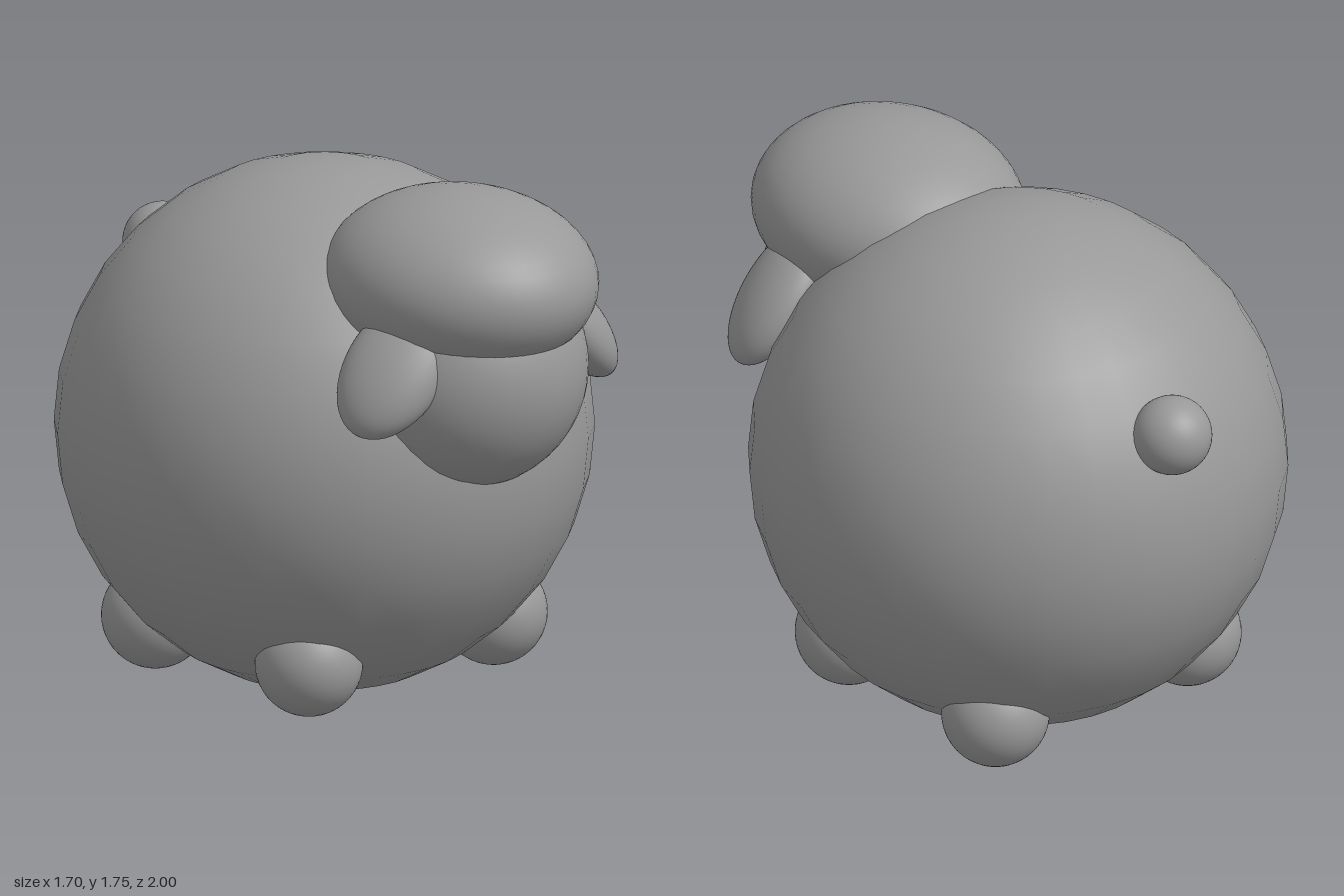
import * as THREE from 'three';

const material = new THREE.MeshStandardMaterial({ color: 0x999999 });

// A smooth ellipsoid from its centre and half-sizes
function ellipsoid(name, centre, radii, segments = 48) {
  const geometry = new THREE.SphereGeometry(1, segments, segments / 2);
  geometry.scale(...radii);
  const mesh = new THREE.Mesh(geometry, material);
  mesh.name = name;
  mesh.position.set(...centre);
  return mesh;
}

export function createModel() {
  const model = new THREE.Group();
  model.name = 'roundSheep';

  // Ball-shaped body and small tail
  model.add(ellipsoid('body', [0, 0.85, -0.105], [0.848, 0.848, 0.848], 32));
  model.add(ellipsoid('tail', [0.03, 1.26, -0.875], [0.126, 0.126, 0.126]));

  // Head with a flattened cap of wool
  model.add(ellipsoid('head', [-0.02, 1.19, 0.555], [0.39, 0.39, 0.39]));
  model.add(ellipsoid('woolCap', [-0.02, 1.47, 0.536], [0.408, 0.285, 0.464]));

  for (const [side, label] of [[1, 'left'], [-1, 'right']]) {
    // Drooping ear, twisted about its length so the rear edge turns outward
    const ear = ellipsoid(label + 'Ear', [side * 0.37, 1.265, 0.612], [0.102, 0.25, 0.165]);
    ear.rotation.set(0, side * -0.4, side * 0.72, 'ZYX');
    model.add(ear);

    // Front and back feet
    for (const [z, end] of [[0.245, 'Front'], [-0.455, 'Back']]) {
      model.add(ellipsoid(label + end + 'Foot', [side * 0.398, 0.222, z], [0.17, 0.17, 0.17]));
    }
  }
  return model;
}
